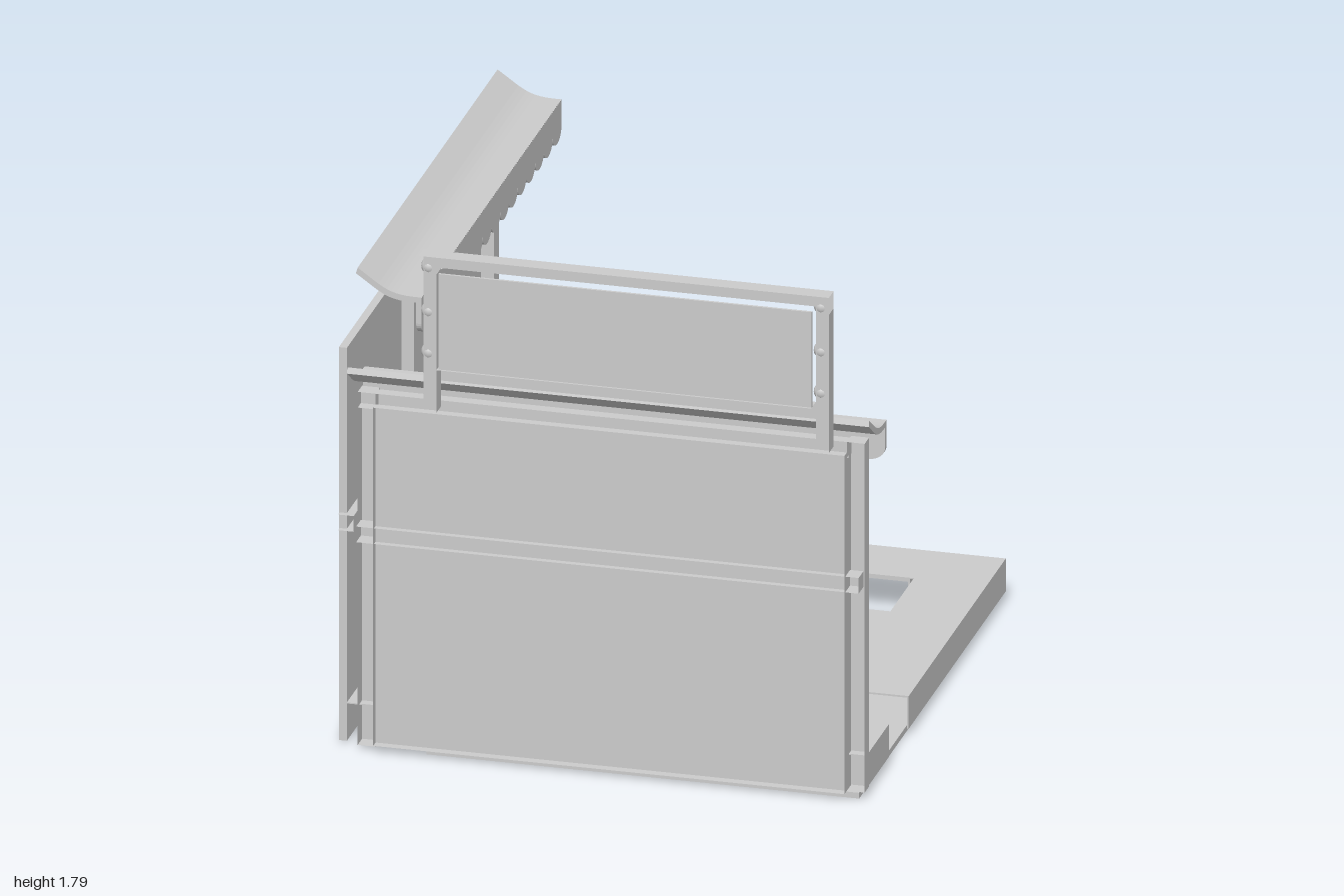
import * as THREE from 'three';

const mat = new THREE.MeshStandardMaterial({ color: 0xcccccc, side: THREE.DoubleSide });

function add(parent, name, geo) {
  const m = new THREE.Mesh(geo, mat);
  m.name = name;
  parent.add(m);
  return m;
}

// Box from its minimum and maximum corners; faces listed in open
// (0..5 = +x, -x, +y, -y, +z, -z) are left out to form channels and trays
function box(parent, name, x0, x1, y0, y1, z0, z1, open = []) {
  const geo = new THREE.BoxGeometry(x1 - x0, y1 - y0, z1 - z0);
  geo.setIndex([...geo.index.array].filter((_, i) => !open.includes(Math.floor(i / 6))));
  geo.clearGroups();
  const m = add(parent, name, geo);
  m.position.set((x0 + x1) / 2, (y0 + y1) / 2, (z0 + z1) / 2);
  return m;
}

function section(parent, name) {
  const g = new THREE.Group();
  g.name = name;
  parent.add(g);
  return g;
}

// Awning hanging from its top edge, running along local z, sloping to +x
function awning(parent, name, from, to) {
  const g = section(parent, name);
  const top = new THREE.CubicBezierCurve(
    new THREE.Vector2(0, 0), new THREE.Vector2(0.09, -0.06),
    new THREE.Vector2(0.1, -0.085), new THREE.Vector2(0.215, -0.082)).getPoints(12);
  const under = top.map((p) => new THREE.Vector2(p.x - 0.006, p.y - 0.02)).reverse();
  const roof = new THREE.ExtrudeGeometry(new THREE.Shape([...top, ...under]),
    { depth: to - from, bevelEnabled: false });
  roof.translate(0, 0, from);
  add(g, 'awningRoof', roof);

  // Scalloped valance along the low edge
  const n = 16, w = (to - from) / n;
  const s = new THREE.Shape();
  s.moveTo(to, -0.084);
  s.lineTo(from, -0.084);
  s.lineTo(from, -0.175);
  for (let i = 0; i < n; i++) {
    s.absellipse(from + (i + 0.5) * w, -0.175, w / 2, 0.043, Math.PI, 2 * Math.PI, false, 0);
  }
  const valance = new THREE.ExtrudeGeometry(s, { depth: 0.018, bevelEnabled: false, curveSegments: 8 });
  valance.rotateY(-Math.PI / 2);
  valance.translate(0.215, 0, 0);
  add(g, 'awningValance', valance);
  return g;
}

export function createModel() {
  const model = new THREE.Group();
  model.name = 'cornerStall';

  // Floor plate
  box(model, 'floor', -0.6, 0.855, 0, 0.02, -0.62, 0.9);

  // Raised benches: thin tops, outer fascias, brackets below
  const benches = section(model, 'benches');
  const y0 = 0.03, yt = 0.141, y1 = 0.145;
  box(benches, 'backBenchTop', -0.88, 0.875, yt, y1, -0.86, -0.62);
  box(benches, 'backFascia', -0.88, 0.875, y0, yt, -0.86, -0.855);
  box(benches, 'rightBenchTop', 0.63, 0.875, yt, y1, -0.62, 0.355);
  box(benches, 'rightFascia', 0.87, 0.875, y0, yt, -0.855, 0.355);
  box(benches, 'leftBenchTop', -0.88, -0.59, yt, y1, -0.13, 0.6);
  box(benches, 'frontBenchTop', -0.88, 0.875, yt, y1, 0.6, 0.88);
  box(benches, 'frontRiser', -0.6, 0.875, y0, yt, 0.6, 0.605);
  box(benches, 'frontBenchEnd', 0.87, 0.875, y0, yt, 0.605, 0.88);
  for (let i = 0; i < 7; i++) {
    const x = -0.86 + i * 0.245;
    box(benches, 'backBracket', x, x + 0.006, y0, yt, -0.855, -0.622);
  }
  for (let i = 0; i < 4; i++) {
    const zr = -0.62 + i * 0.24, zl = -0.12 + i * 0.24;
    box(benches, 'rightBracket', 0.632, 0.87, y0, yt, zr - 0.006, zr);
    box(benches, 'leftBracket', -0.88, -0.592, y0, yt, zl - 0.006, zl);
  }

  // Tall side wall: shallow tray panel crossed by channel posts and a rail
  const side = section(model, 'sideWall');
  box(side, 'sidePanel', -0.9, -0.873, 0.01, 1.39, -0.81, 0.88, [1]);
  for (const z of [-0.83, -0.33, 0.17]) {
    box(side, 'sidePost', -0.893, -0.83, 0.025, 1.575, z - 0.03, z + 0.03, [1]);
  }
  box(side, 'sideRail', -0.897, -0.845, 0.755, 0.81, -0.85, 0.9, [1, 4]);

  // Lower front wall, built the same way
  const front = section(model, 'frontWall');
  box(front, 'frontPanel', -0.77, 0.815, 0.025, 1.213, 0.905, 0.935, [4]);
  box(front, 'frontPostLeft', 0.815, 0.875, 0.025, 1.25, 0.85, 0.905, [4]);
  box(front, 'frontPostRight', -0.83, -0.77, 0.01, 1.25, 0.85, 0.905, [4]);
  box(front, 'frontRail', -0.83, 0.86, 0.73, 0.785, 0.865, 0.925, [4]);
  box(front, 'frontTopBeam', -0.83, 0.82, 1.195, 1.25, 0.865, 0.905, [4]);

  // Awnings over both walls, sloping inward
  awning(model, 'sideAwning', -1, 0.75).position.set(-0.872, 1.62, 0);
  const frontAwning = awning(model, 'frontAwning', -0.86, 0.895);
  frontAwning.rotation.y = Math.PI / 2;
  frontAwning.position.set(0, 1.34, 0.922);

  // Blank sign: panel standing forward of an open angle frame with round bulbs
  const sign = section(model, 'sign');
  box(sign, 'signPanel', -0.535, 0.72, 1.395, 1.73, 0.983, 0.992);
  box(sign, 'signTopRail', -0.6, 0.78, 1.73, 1.79, 0.94, 1, [0, 1, 3, 4]);
  box(sign, 'signBottomRail', -0.54, 0.72, 1.335, 1.395, 0.94, 1, [0, 1, 3, 4]);
  for (const x of [-0.6, 0.72]) {
    box(sign, 'signLeg', x, x + 0.06, 1.245, 1.73, 0.94, 1, [1, 2, 3, 4]);
    for (const y of [1.425, 1.57, 1.725]) {
      add(sign, 'bulb', new THREE.SphereGeometry(0.029, 16, 12)).position.set(x + 0.016, y, 0.915);
    }
  }
  return model;
}
